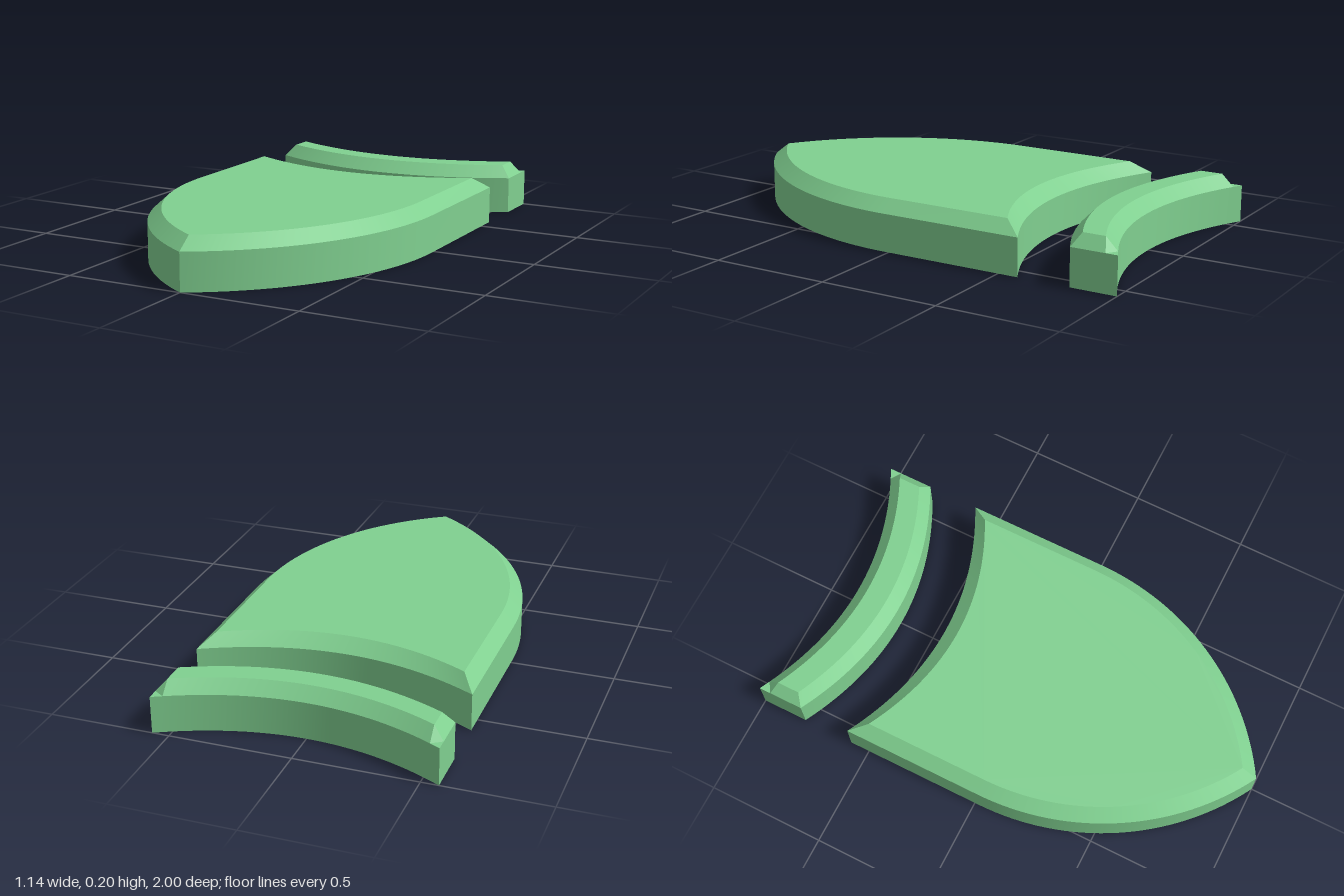
import * as THREE from 'three';
import { toCreasedNormals } from 'three/addons/utils/BufferGeometryUtils.js';

const WALL = 0.155, TOP = 0.205, HALF = 0.57;

// Sagging edge running from x0 to x1; z is mid at the centre and mid - sag at |x| = half
function sagEdge(x0, x1, mid, sag, half, n = 32) {
  return Array.from({ length: n + 1 }, (_, i) => {
    const x = x0 + (x1 - x0) * i / n;
    return [x, mid - sag * (x / half) ** 2];
  });
}

// Stack of equal-length [x, z] rings at given heights, capped at both ends
function loft(rings) {
  const pos = [];
  const tri = (a, b, c) => {
    const area = new THREE.Triangle(a, b, c).getArea();
    if (area > 1e-8) for (const p of [a, b, c]) pos.push(p.x, p.y, p.z);
  };
  const loops = rings.map(([y, pts]) => pts.map(([x, z]) => new THREE.Vector3(x, y, z)));
  for (let r = 0; r < loops.length - 1; r++) {
    const lo = loops[r], hi = loops[r + 1];
    lo.forEach((a, i) => {
      const j = (i + 1) % lo.length;
      tri(a, lo[j], hi[j]);
      tri(a, hi[j], hi[i]);
    });
  }
  const cap = (loop, up) => {
    const flat = loop.map(p => new THREE.Vector2(p.x, -p.z));
    for (const [a, b, c] of THREE.ShapeUtils.triangulateShape(flat, [])) {
      if (up) tri(loop[a], loop[b], loop[c]);
      else tri(loop[a], loop[c], loop[b]);
    }
  };
  cap(loops[0], false);
  cap(loops[loops.length - 1], true);
  const geo = new THREE.BufferGeometry();
  geo.setAttribute('position', new THREE.Float32BufferAttribute(pos, 3));
  return toCreasedNormals(geo, 0.45);
}

// Shield outline: sagging back edge, straight sides, two arcs meeting at the tip
function shieldOutline(half, mid, sag, radius) {
  const n = 32, start = 0.02, cx = half - radius;
  const end = Math.acos(-cx / radius);
  const arc = Array.from({ length: n + 1 }, (_, i) => {
    const a = end * i / n;
    return [cx + radius * Math.cos(a), start + radius * Math.sin(a)];
  });
  const left = arc.map(([x, z]) => [-x, z]);
  return [...sagEdge(half, -half, mid, sag, half), ...left, ...arc.slice(0, -1).reverse()];
}

function shieldGeometry() {
  const outer = shieldOutline(HALF, -0.432, 0.153, 1.127);
  const inner = shieldOutline(0.515, -0.37, 0.138, 1.067);
  return loft([[0, outer], [WALL, outer], [TOP, inner]]);
}

// Curved band; its two sharp back corners end in a small flat notch
function bandGeometry() {
  const t = 0.527, sag = 0.15;
  const back = sagEdge(t, -t, -0.85, sag, HALF);
  const front = sagEdge(-HALF, HALF, -0.655, sag, HALF);
  const notch = back[0][1], side = -0.95;
  const outline = (cx, cz) => [
    [HALF, side], [cx, cz], ...back, [-cx, cz], [-HALF, side], ...front];
  const outer = outline(HALF, -1);
  const cut = outline((HALF + t) / 2, (side + notch) / 2);
  const ridge = sagEdge(t, -t, -0.8, sag, HALF);
  const first = ridge[0], last = ridge[ridge.length - 1];
  const inner = [first, first, ...ridge, last, last, ...sagEdge(-t, t, -0.705, sag, HALF)];
  return loft([[0, outer], [WALL, outer], [WALL, cut], [TOP, inner]]);
}

export function createModel() {
  const group = new THREE.Group();
  group.name = 'shieldEmblem';
  const material = new THREE.MeshStandardMaterial({ color: 0x80d090 });
  const parts = { shieldBody: shieldGeometry(), topBand: bandGeometry() };
  for (const [name, geometry] of Object.entries(parts)) {
    const mesh = new THREE.Mesh(geometry, material);
    mesh.name = name;
    group.add(mesh);
  }
  return group;
}
